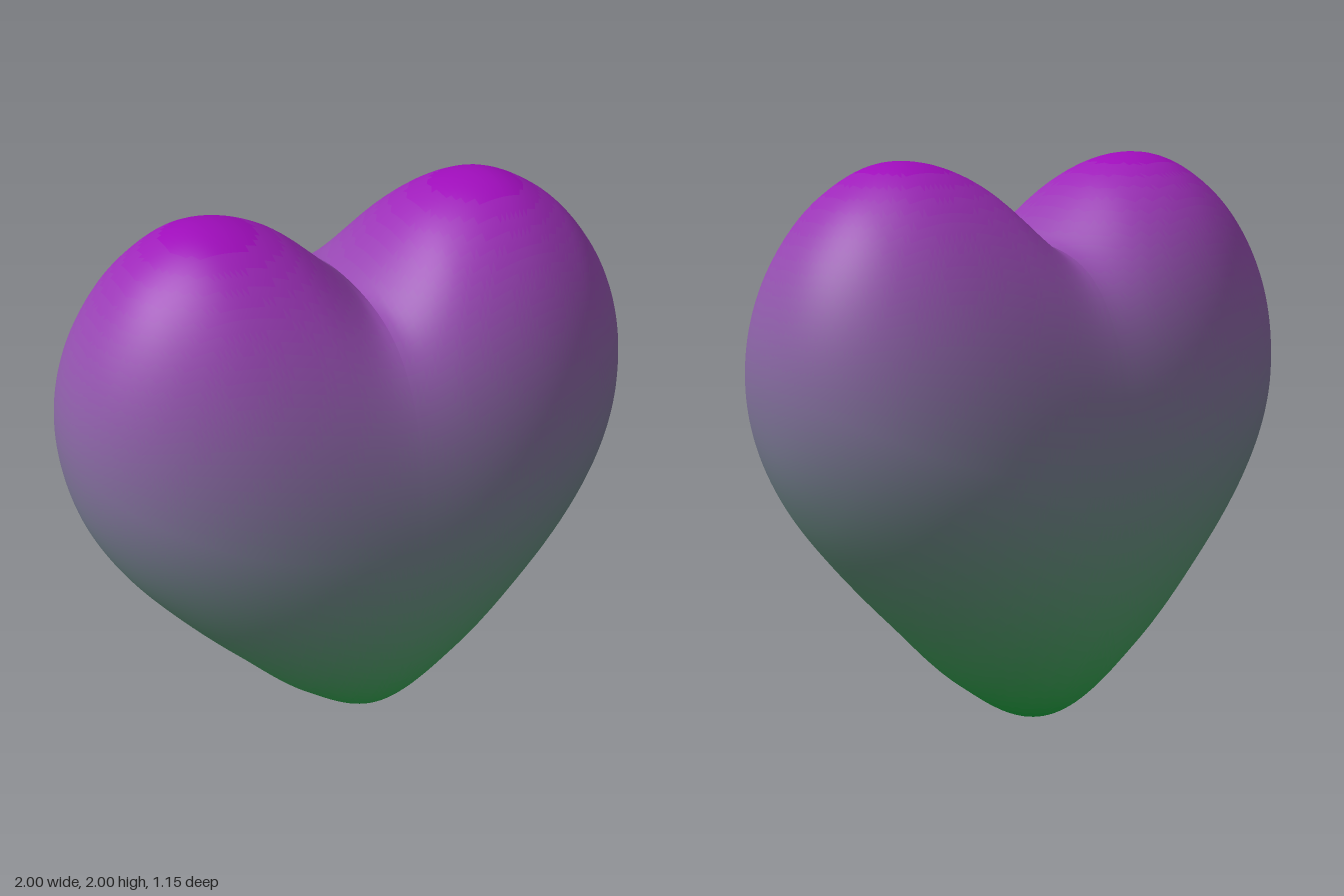
import * as THREE from 'three';

const STEPS = 80;   // slices from the centre plane to the side of a lobe
const AROUND = 120; // points round each slice
const BANDS = 56;   // colour bands from bottom to top

// Upper and lower outline heights at x = sin(0, 15, ... 90 degrees), one extra point at each end.
const spline = (ys) => new THREE.SplineCurve(ys.map((y, i) => new THREE.Vector2(i, y)));
const upper = spline([1.50, 1.72, 1.935, 1.998, 1.915, 1.75, 1.545, 1.32, 1.08]);
const lower = spline([0.15, 0, 0.15, 0.40, 0.635, 0.85, 1.07, 1.32, 1.545]);
const heightAt = (curve, s) => curve.getPoint((1 + 6 * s) / 8).y;

// Rounded cross-section of a lobe at slice s (0 = centre plane, 1 = outer side).
function surfacePoint(s, phi, side) {
  const x = Math.sin(s * Math.PI / 2);
  const middle = 1 + 0.32 * x * x;
  const depth = 0.575 * Math.pow(Math.max(0, 1 - Math.pow(x, 2.7)), 0.46);
  const c = Math.cos(phi), n = Math.sin(phi);
  const power = c > 0 ? 2 / 2.1 : 1;
  // The cleft is sharp on top and softens towards the front and back.
  const soft = 0.15 * n * n;
  const softened = Math.min(1, Math.sqrt(s * s + soft * soft * (1 - s * s)));
  const reach = c > 0 ? heightAt(upper, softened) - middle : middle - heightAt(lower, s);
  const y = middle + Math.sign(c) * Math.pow(Math.abs(c), power) * reach;
  const z = Math.sign(n) * Math.pow(Math.abs(n), power) * depth;
  return [side * x, y, z];
}

// One half of the heart; the halves keep separate normals so the cleft stays sharp.
function halfGeometry(side) {
  const positions = [];
  for (let i = 0; i <= STEPS; i++) {
    for (let j = 0; j < AROUND; j++) {
      positions.push(...surfacePoint(i / STEPS, j / AROUND * Math.PI * 2, side));
    }
  }

  // Sort the triangles into height bands, one material each.
  const bands = Array.from({ length: BANDS }, () => []);
  const addTriangle = (a, b, c) => {
    const y = (positions[a * 3 + 1] + positions[b * 3 + 1] + positions[c * 3 + 1]) / 3;
    const band = THREE.MathUtils.clamp(Math.floor(y / 2 * BANDS), 0, BANDS - 1);
    bands[band].push(...(side > 0 ? [a, b, c] : [a, c, b]));
  };
  for (let i = 0; i < STEPS; i++) {
    for (let j = 0; j < AROUND; j++) {
      const k = (j + 1) % AROUND;
      const a = i * AROUND + j, b = i * AROUND + k;
      addTriangle(a, b, a + AROUND);
      if (i < STEPS - 1) addTriangle(b, b + AROUND, a + AROUND);
    }
  }

  const geometry = new THREE.BufferGeometry();
  geometry.setAttribute('position', new THREE.Float32BufferAttribute(positions, 3));
  geometry.setIndex(bands.flat());
  let start = 0;
  bands.forEach((band, i) => {
    if (band.length) geometry.addGroup(start, band.length, i);
    start += band.length;
  });
  geometry.computeVertexNormals();
  return geometry;
}

export function createModel() {
  const group = new THREE.Group();
  group.name = 'heart';

  // Green at the tip blending to purple on the lobes
  const green = new THREE.Color(0x10b43c);
  const purple = new THREE.Color(0xa000bc);
  const materials = Array.from({ length: BANDS }, (_, i) => new THREE.MeshStandardMaterial({
    color: new THREE.Color().lerpColors(green, purple, (i + 0.5) / BANDS),
  }));

  for (const side of [1, -1]) {
    const half = new THREE.Mesh(halfGeometry(side), materials);
    half.name = side > 0 ? 'leftLobe' : 'rightLobe';
    group.add(half);
  }
  return group;
}
